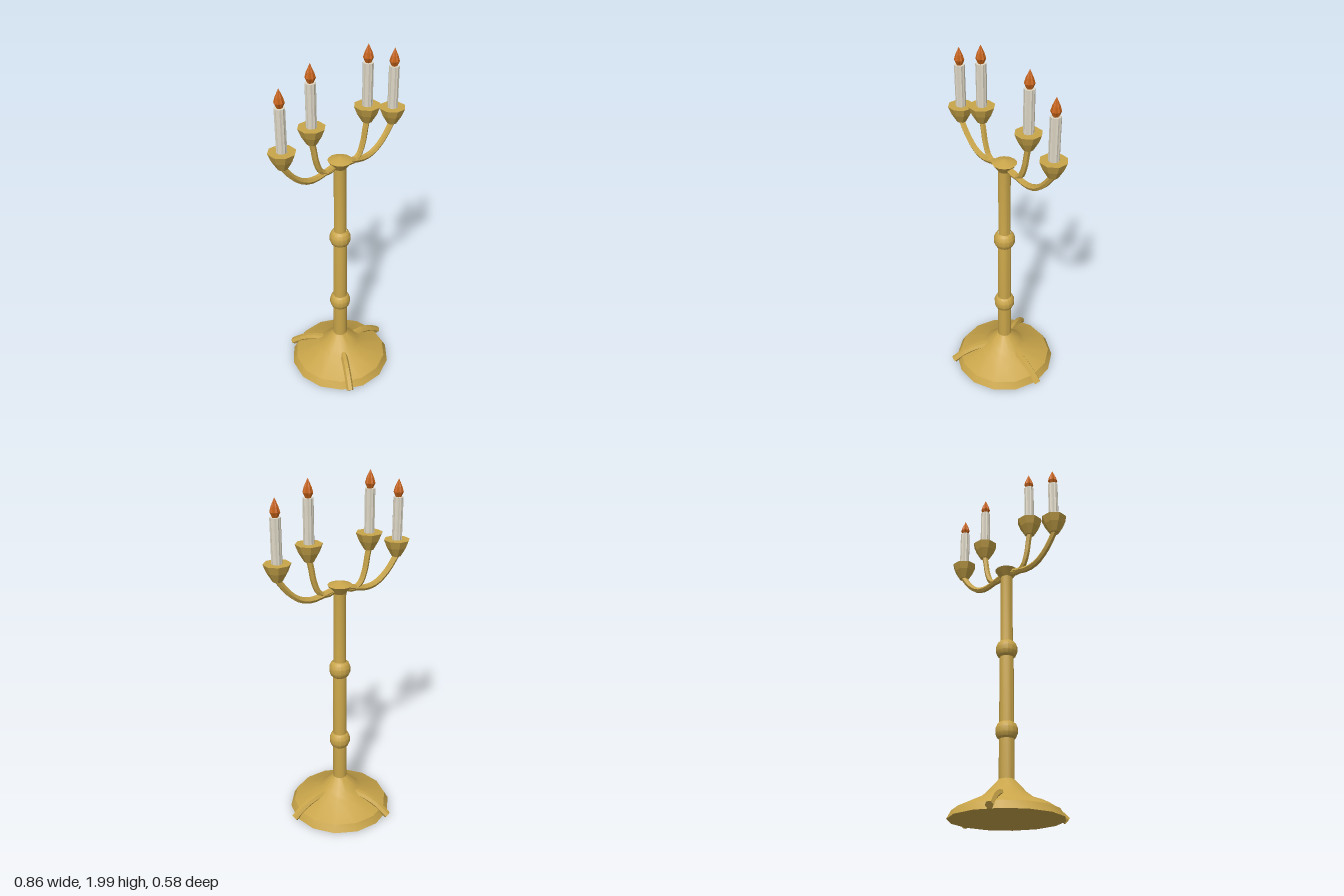
import * as THREE from 'three';
import { toCreasedNormals } from 'three/addons/utils/BufferGeometryUtils.js';

const gold = new THREE.MeshStandardMaterial({ color: 0xc9a54a });
gold.name = 'gold';
const wax = new THREE.MeshStandardMaterial({ color: 0xdcd6c4 });
wax.name = 'wax';
const fire = new THREE.MeshStandardMaterial({ color: 0xc8641a });
fire.name = 'flame orange';

const SMOOTH = 0.56, FLAT = 0.05;

function mesh(name, geometry, material, crease) {
  const m = new THREE.Mesh(toCreasedNormals(geometry, crease), material);
  m.name = name;
  return m;
}

// Turned part from [radius, y] pairs running upwards; flute pulls in every other side
function turned(name, profile, sides, material, crease, start = 0, flute = 1) {
  const geo = new THREE.LatheGeometry(profile.map(([r, y]) => new THREE.Vector2(r, y)), sides, start);
  if (flute !== 1) {
    const p = geo.attributes.position;
    for (let i = 0; i < p.count; i++) {
      if (Math.floor(i / profile.length) % 2) {
        p.setX(i, p.getX(i) * flute);
        p.setZ(i, p.getZ(i) * flute);
      }
    }
  }
  return mesh(name, geo, material, crease);
}

// Round bar through [x, y] points
function bar(name, points, radius, segments, crease) {
  const path = new THREE.CatmullRomCurve3(points.map(([x, y]) => new THREE.Vector3(x, y, 0)));
  return mesh(name, new THREE.TubeGeometry(path, segments, radius, 6), gold, crease);
}

// Cup, candle and flame standing at height y
function candleHolder(x, y) {
  const g = new THREE.Group();
  g.name = 'candleHolder';
  g.add(
    turned('cup', [[0, 0], [0.026, 0], [0.055, 0.05], [0.0715, 0.092], [0, 0.092]], 8, gold, FLAT, Math.PI / 8),
    turned('candle', [[0, 0.09], [0.028, 0.09], [0.028, 0.322], [0, 0.322]], 20, wax, FLAT, 0, 0.9),
    turned('flame', [[0, 0.318], [0.014, 0.32], [0.027, 0.348], [0.019, 0.376], [0.008, 0.4], [0, 0.418]],
      16, fire, FLAT, 0, 0.82));
  g.position.set(x, y, 0);
  return g;
}

export function createModel() {
  const model = new THREE.Group();
  model.name = 'candelabrum';

  // Fourteen-sided base with a bevelled rim and a flared cone
  model.add(turned('base',
    [[0, 0.01], [0.297, 0.01], [0.274, 0.052], [0.14, 0.115], [0.105, 0.142], [0.04, 0.212], [0, 0.212]],
    14, gold, SMOOTH, Math.PI / 2));

  // Three curved feet lying on the base
  for (let i = 0; i < 3; i++) {
    const foot = new THREE.Group();
    foot.name = 'foot';
    const end = mesh('footEnd', new THREE.CircleGeometry(0.021, 6), gold, FLAT);
    end.position.set(0.316, 0.021, 0);
    end.rotation.set(0.66, Math.PI / 2, 0, 'YXZ');
    foot.add(bar('footBar', [[0.09, 0.12], [0.18, 0.104], [0.25, 0.073], [0.316, 0.021]], 0.021, 6, FLAT), end);
    foot.rotation.y = i * Math.PI * 2 / 3;
    model.add(foot);
  }

  // Post with two flattened balls and a conical cap
  model.add(turned('post', [[0.041, 0.2], [0.038, 0.94], [0.034, 0.96], [0.034, 1.4]], 14, gold, SMOOTH));
  for (const y of [0.465, 0.925]) {
    model.add(turned('ball',
      [[0.036, y - 0.048], [0.05, y - 0.036], [0.059, y - 0.014], [0.059, y + 0.014], [0.05, y + 0.036], [0.036, y + 0.048]],
      14, gold, SMOOTH));
  }
  model.add(turned('cap', [[0.034, 1.375], [0.066, 1.42], [0, 1.443]], 14, gold, SMOOTH));

  // Two arms on each side, each carrying a candle
  for (const s of [1, -1]) {
    const inner = [[0.02, 1.402], [0.085, 1.38], [0.13, 1.405], [0.16, 1.475], [0.172, 1.54], [0.183, 1.59]];
    const outer = [[0.02, 1.405], [0.085, 1.388], [0.17, 1.372], [0.238, 1.387], [0.307, 1.44], [0.367, 1.518]];
    const flip = pts => pts.map(([x, y]) => [x * s, y]);
    model.add(
      bar('innerArm', flip(inner), 0.016, 12, FLAT),
      bar('outerArm', flip(outer), 0.017, 12, FLAT),
      candleHolder(0.183 * s, 1.582),
      candleHolder(0.366 * s, 1.513));
  }
  return model;
}
